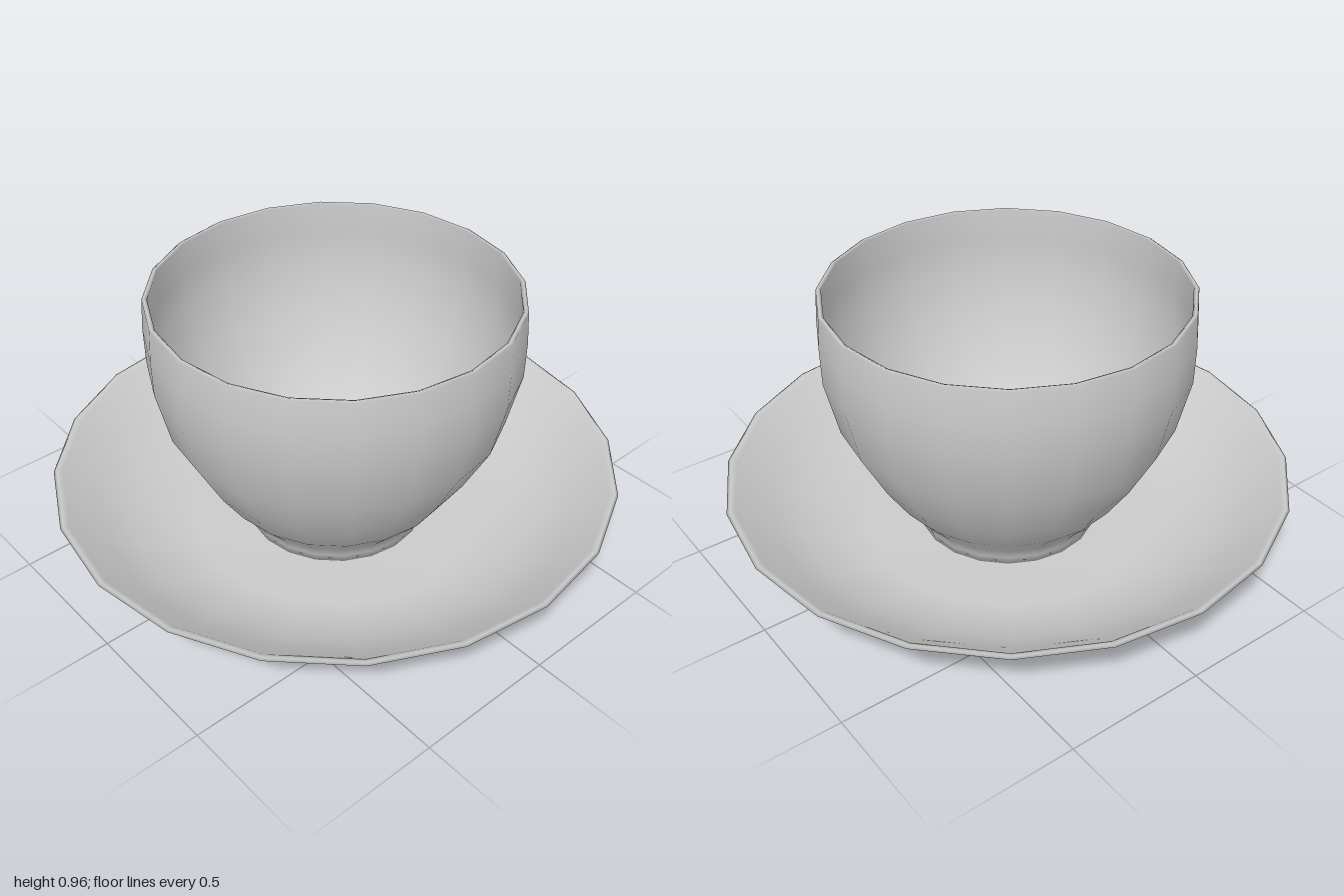
import * as THREE from 'three';

const SIDES = 20;

// Profile runs from the underside centre, up the outside, over the rim and down the inside.
function turned(name, profile, material) {
  const points = profile.map(([r, y]) => new THREE.Vector2(r, y));
  const mesh = new THREE.Mesh(new THREE.LatheGeometry(points, SIDES), material);
  mesh.name = name;
  return mesh;
}

export function createModel() {
  const material = new THREE.MeshStandardMaterial({ color: 0xcccccc });
  const group = new THREE.Group();
  group.name = 'cupAndSaucer';

  // Shallow dish with a flat base and a thin rim
  group.add(turned('saucer', [
    [0, 0.01], [0.5, 0.01], [0.53, 0], [0.56, 0.005],
    [0.66, 0.037], [0.77, 0.085], [0.88, 0.155], [0.985, 0.25], [1, 0.265],
    [0.99, 0.27], [0.97, 0.262],
    [0.86, 0.172], [0.75, 0.11], [0.64, 0.07], [0.53, 0.05], [0, 0.045],
  ], material));

  // Round bowl on a short foot, with a thin wall
  group.add(turned('cup', [
    [0, 0.05], [0.32, 0.05], [0.325, 0.08], [0.345, 0.125],
    [0.42, 0.21], [0.5, 0.335], [0.59, 0.51], [0.635, 0.71], [0.637, 0.84], [0.63, 0.955],
    [0.622, 0.96], [0.612, 0.955],
    [0.615, 0.84], [0.61, 0.71], [0.565, 0.52], [0.475, 0.35], [0.39, 0.235],
    [0.3, 0.17], [0.22, 0.15], [0, 0.145],
  ], material));

  return group;
}
